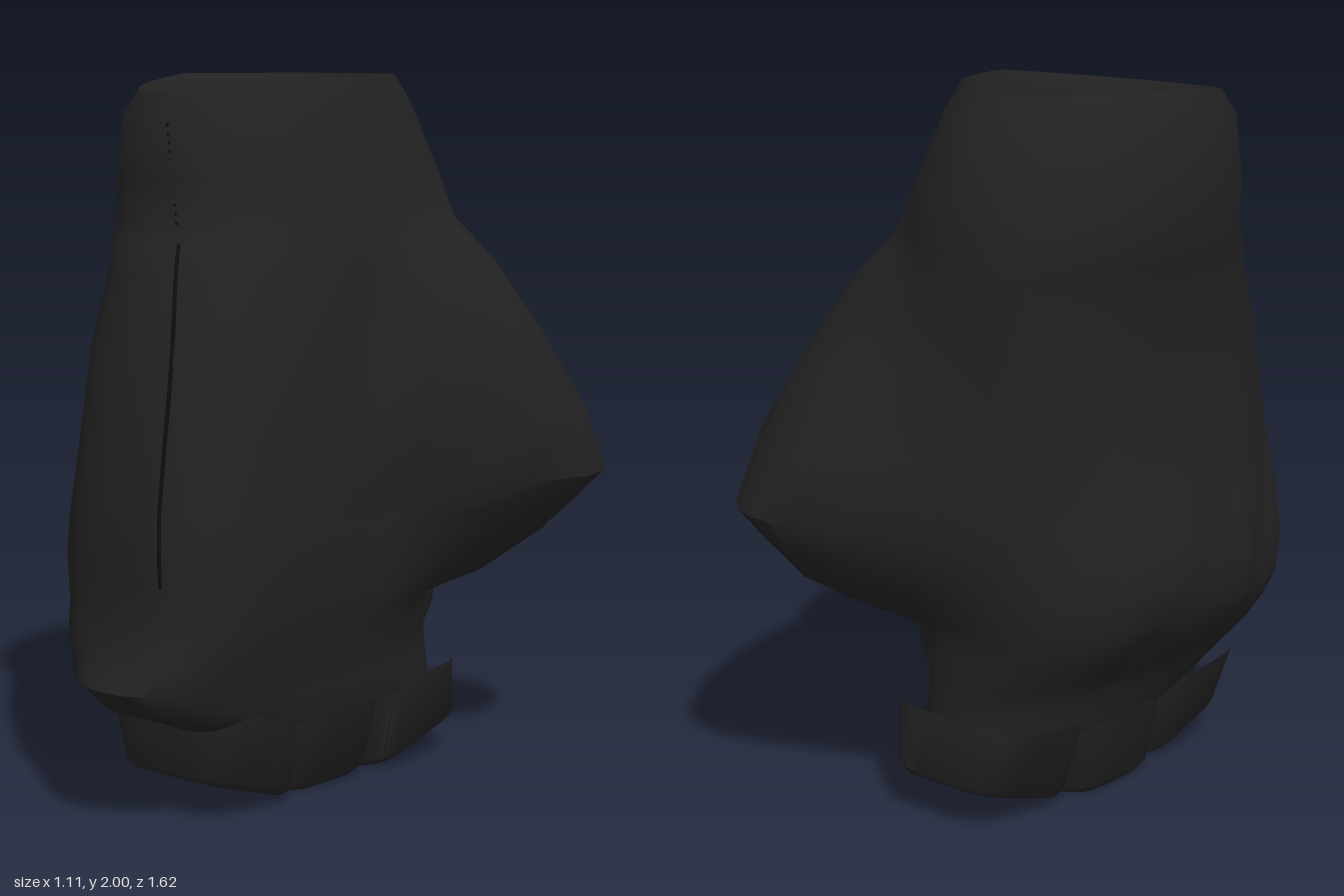
import * as THREE from 'three';
import { toCreasedNormals } from 'three/addons/utils/BufferGeometryUtils.js';

const SEGMENTS = 56;

// Point on a rounded cross-section; row = [y, xMin, xMax, zMin, zMax]
function ringPoint([y, x0, x1, z0, z1], a, o) {
  const e = 2 / o.power(y);
  const c = Math.cos(a), s = Math.sin(a);
  const u = Math.sign(c) * Math.abs(c) ** e;
  const v = Math.sign(s) * Math.abs(s) ** e;
  const front = Math.max(0, v);
  const z = (z0 + z1) / 2 + ((z1 - z0) / 2) * v;
  let x = (x0 + x1) / 2 + ((x1 - x0) / 2) * u + (o.skew ?? 0) * front * front * Math.min(1, 2 - y);
  // knuckle bumps along the back of the hand
  if (o.knuckles) {
    const band = Math.exp(-(((y - 0.69) / 0.17) ** 2)) * Math.max(0, -u);
    x -= o.knuckles * band * Math.cos((Math.PI * (z - 0.02)) / 0.25) ** 2;
  }
  // the cuff rim sinks at the front
  return new THREE.Vector3(x, y > 1.85 ? y - 0.05 * front : y, z);
}

// Stretch the rear half of a ring so that it wraps round the thumb as well
function wrapThumb(ring, [reach, width, shift], row) {
  const cx = (row[1] + row[2]) / 2, cz = (row[3] + row[4]) / 2;
  const outline = ring.filter(p => p.z < 0.1).map(p => [p.x - cx, p.z - cz]);
  for (let i = 0; i < 48; i++) {
    const t = (i / 48) * Math.PI * 2;
    const d = reach - 0.3 + 0.3 * Math.cos(t), w = shift + width * Math.sin(t);
    outline.push([0.5 * d + 0.866 * w - cx, -0.866 * d + 0.5 * w - cz]);
  }
  const sides = Array.from({ length: 180 }, (_, i) => {
    const t = (i / 180) * Math.PI * 2, c = Math.cos(t), s = Math.sin(t);
    return [c, s, Math.max(...outline.map(([x, z]) => x * c + z * s))];
  });
  return ring.map(p => {
    const dx = p.x - cx, dz = p.z - cz, len = Math.hypot(dx, dz);
    let r = Infinity;
    for (const [c, s, h] of sides) {
      const k = (dx * c + dz * s) / len;
      if (k > 0.01) r = Math.min(r, h / k);
    }
    r = Math.max(r, len);
    return new THREE.Vector3(cx + (dx / len) * r, p.y, cz + (dz / len) * r);
  });
}

// Skin a stack of cross-sections; each end narrows to a point unless left open
function loft(rows, o) {
  const shut = r => {
    const x = (r[1] + r[2]) / 2, z = (r[3] + r[4]) / 2;
    return [r[0], x - 0.001, x + 0.001, z - 0.001, z + 0.001];
  };
  const all = [shut(rows[0]), ...rows];
  if (!o.openTop) all.push(shut(rows[rows.length - 1]));
  const pos = [], index = [];
  all.forEach((row, i) => {
    let ring = Array.from({ length: SEGMENTS }, (_, j) => ringPoint(row, (j / SEGMENTS) * Math.PI * 2, o));
    if (row[5]) ring = wrapThumb(ring, row[5], row);
    ring.forEach((p, j) => {
      pos.push(p.x, p.y, p.z);
      if (i === all.length - 1) return;
      const a = i * SEGMENTS + j, b = i * SEGMENTS + ((j + 1) % SEGMENTS);
      index.push(a, a + SEGMENTS, b, b, a + SEGMENTS, b + SEGMENTS);
    });
  });
  const g = new THREE.BufferGeometry();
  g.setAttribute('position', new THREE.Float32BufferAttribute(pos, 3));
  g.setIndex(index);
  return g;
}

// Hand shell from the finger ledge to the wrist; the last triple is the thumb's reach, half width and sideways shift
const HAND = [
  [0.24, -0.325, 0.17, -0.485, 0.53],
  [0.27, -0.34, 0.18, -0.485, 0.59],
  [0.33, -0.36, 0.19, -0.48, 0.75],
  [0.40, -0.41, 0.20, -0.48, 0.815],
  [0.47, -0.46, 0.22, -0.48, 0.77],
  [0.53, -0.49, 0.235, -0.48, 0.755],
  [0.57, -0.50, 0.245, -0.49, 0.745, [0.53, 0.13, -0.06]],
  [0.68, -0.50, 0.255, -0.50, 0.74, [0.72, 0.18, -0.07]],
  [0.78, -0.50, 0.26, -0.51, 0.74, [0.81, 0.24, -0.05]],
  [0.87, -0.50, 0.26, -0.51, 0.73, [0.88, 0.28, -0.02]],
  [1.05, -0.49, 0.26, -0.52, 0.70, [0.81, 0.29, -0.01]],
  [1.27, -0.48, 0.26, -0.52, 0.65, [0.68, 0.28, -0.02]],
  [1.48, -0.495, 0.25, -0.53, 0.575, [0.53, 0.24, -0.02]],
  [1.56, -0.51, 0.245, -0.53, 0.54, [0.46, 0.2, -0.03]],
];
const CUFF = [
  [1.60, -0.52, 0.24, -0.52, 0.505, [0.42, 0.18, -0.03]],
  [1.72, -0.52, 0.225, -0.52, 0.50],
  [1.93, -0.51, 0.20, -0.42, 0.48],
  [2.00, -0.47, 0.17, -0.36, 0.43],
];
// Lining from the rim down to the finger hollow
const LINING = [
  [1.94, -0.41, 0.14, -0.34, 0.38],
  [1.60, -0.41, 0.15, -0.36, 0.39],
  [0.95, -0.36, 0.12, -0.34, 0.42],
  [0.40, -0.28, 0.10, -0.32, 0.38],
  [0.14, -0.23, 0.08, -0.27, 0.33],
];
const HAND_SHAPE = {
  power: y => (y > 1.9 ? 2 : y > 1.4 ? 2.3 : y > 0.45 ? 2.7 : 2.35),
  skew: 0.08,
  knuckles: 0.055,
};

// Raise the outer finger sleeves towards front and back
function slantBottom(g) {
  const p = g.attributes.position;
  for (let i = 0; i < p.count; i++) {
    const fade = Math.max(0, 1 - p.getY(i) / 0.4);
    p.setY(i, p.getY(i) + 0.32 * fade * Math.max(0, Math.abs(p.getZ(i) - 0.03) - 0.18));
  }
  return g;
}

export function createModel() {
  const leather = new THREE.MeshStandardMaterial({ color: 0x222222 });
  leather.name = 'black leather';
  const thread = new THREE.MeshStandardMaterial({ color: 0x0e0e0e });
  thread.name = 'dark thread';

  const model = new THREE.Group();
  model.name = 'glove';
  const add = (name, geometry, material = leather) => {
    const mesh = new THREE.Mesh(geometry, material);
    mesh.name = name;
    model.add(mesh);
    return mesh;
  };

  add('handThumbAndCuff', toCreasedNormals(loft([...HAND, ...CUFF, ...LINING], HAND_SHAPE), 0.9));

  // Short finger sleeves packed side by side, with shallow hollow ends
  const sleeves = [
    [0.20, 0.565, -0.26, 0.14],
    [-0.15, 0.215, -0.27, 0.10],
    [-0.525, -0.135, -0.25, 0.14],
  ];
  for (const [z0, z1, x0, x1] of sleeves) {
    const g = loft([
      [0.04, x0 + 0.06, x1 - 0.06, z0 + 0.05, z1 - 0.05],
      [0.005, x0 + 0.02, x1 - 0.03, z0 + 0.015, z1 - 0.015],
      [0.03, x0, x1, z0, z1],
      [0.27, -0.335, 0.175, Math.max(z0, -0.48), z1 - 0.01],
    ], { power: () => 3.8, openTop: true });
    add('fingerSleeve', toCreasedNormals(slantBottom(g), 0.9));
  }

  // Seam down the front of the hand
  const path = new THREE.CatmullRomCurve3(
    HAND.slice(7).map((r, i) => ringPoint(r, 1.3 + 0.015 * i, HAND_SHAPE)));
  add('seam', new THREE.TubeGeometry(path, 24, 0.006, 5), thread);

  // Stitches up the front of the cuff
  for (let i = 0; i < 12; i++) {
    const p = ringPoint(CUFF[0], 1.45, HAND_SHAPE).lerp(ringPoint(CUFF[2], 1.45, HAND_SHAPE), (i + 0.5) / 12);
    add('stitch', new THREE.BoxGeometry(0.006, 0.009, 0.008), thread).position.copy(p);
  }
  return model;
}
